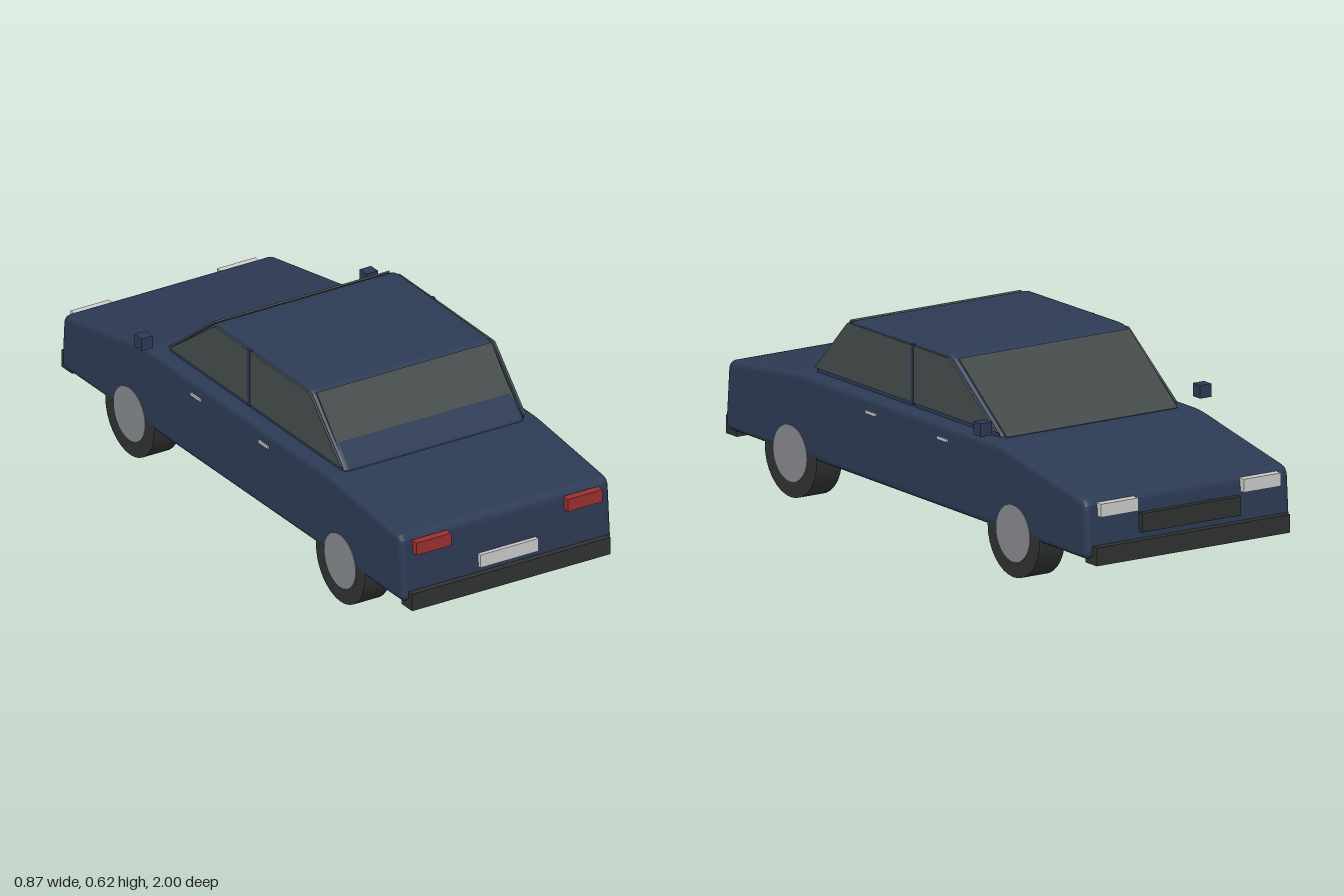
import * as THREE from 'three';

const mat = (color, side = THREE.FrontSide) =>
  new THREE.MeshStandardMaterial({ color, side });

export function createModel() {
  const car = new THREE.Group();
  car.name = 'car';
  const paint = mat(0x2c3a54), glass = mat(0x444b4b, THREE.DoubleSide);
  const rubber = mat(0x303232), red = mat(0x9a3030);
  const pale = mat(0xcccccc), steel = mat(0x85888c);

  function add(name, geometry, material, x = 0, y = 0, z = 0) {
    const mesh = new THREE.Mesh(geometry, material);
    mesh.name = name;
    mesh.position.set(x, y, z);
    car.add(mesh);
    return mesh;
  }
  const box = (name, material, w, h, d, x, y, z) =>
    add(name, new THREE.BoxGeometry(w, h, d), material, x, y, z);

  // Side outline given as [z, y] points, corners softened by radius r
  function outline(points, r) {
    const shape = new THREE.Shape();
    const v = points.map(p => new THREE.Vector2(...p));
    v.forEach((p, i) => {
      const prev = v[(i + v.length - 1) % v.length], next = v[(i + 1) % v.length];
      const a = prev.clone().sub(p).setLength(r).add(p);
      const b = next.clone().sub(p).setLength(r).add(p);
      if (i) shape.lineTo(a.x, a.y); else shape.moveTo(a.x, a.y);
      shape.quadraticCurveTo(p.x, p.y, b.x, b.y);
    });
    shape.closePath();
    return shape;
  }

  // Extrude a side outline across the car, bevelled inwards by b
  function across(points, width, r, b) {
    const g = new THREE.ExtrudeGeometry(outline(points, r), {
      depth: width - 2 * b, curveSegments: 4, bevelEnabled: b > 0,
      bevelThickness: b, bevelSize: b, bevelOffset: -b, bevelSegments: 4,
    });
    g.translate(0, 0, b - width / 2);
    g.rotateY(-Math.PI / 2);
    return g;
  }

  // Lower body and cabin
  add('body', across([[0.98, 0.142], [0.962, 0.365], [0.56, 0.407], [-0.5, 0.407],
    [-0.965, 0.322], [-0.978, 0.135]], 0.766, 0.03, 0.02), paint);
  add('cabin', across([[0.575, 0.4], [0.37, 0.611], [-0.17, 0.616], [-0.455, 0.4]],
    0.666, 0.03, 0.02), paint);

  // Sloping glass running between two [z, y] points
  function pane(name, [z1, y1], [z2, y2]) {
    const dz = z2 - z1, dy = y2 - y1;
    const mesh = box(name, glass, 0.64, Math.hypot(dz, dy), 0.006, 0, (y1 + y2) / 2, (z1 + z2) / 2);
    mesh.rotation.x = Math.atan2(dz, dy);
  }
  pane('rearWindow', [0.549, 0.417], [0.385, 0.603]);
  pane('windshield', [-0.453, 0.407], [-0.194, 0.603]);

  // Side windows, split by a pillar
  const rearSide = [[0.555, 0.42], [0.378, 0.6], [0.036, 0.602], [0.036, 0.42]];
  const frontSide = [[0.022, 0.42], [0.022, 0.602], [-0.168, 0.602], [-0.425, 0.42]];

  for (const [side, s] of [['left', 1], ['right', -1]]) {
    add(side + 'RearSideWindow', across(rearSide, 0.008, 0.005, 0), glass, s * 0.335);
    add(side + 'FrontSideWindow', across(frontSide, 0.008, 0.005, 0), glass, s * 0.335);
    box(side + 'Pillar', paint, 0.012, 0.19, 0.014, s * 0.334, 0.51, 0.029);

    // Mirrors and door handles
    box(side + 'Mirror', paint, 0.042, 0.042, 0.04, s * 0.412, 0.452, -0.455);
    for (const z of [0.185, -0.2])
      box(side + 'DoorHandle', pale, 0.012, 0.009, 0.055, s * 0.382, 0.359, z);

    // Lights
    box(side + 'TailLight', red, 0.127, 0.042, 0.03, s * 0.277, 0.324, 0.973);
    box(side + 'Headlight', pale, 0.14, 0.042, 0.03, s * 0.268, 0.291, -0.972);

    // Wheels with hubcaps
    for (const z of [0.62, -0.58]) {
      const tyre = new THREE.CylinderGeometry(0.14, 0.14, 0.095, 32).rotateZ(Math.PI / 2);
      add(side + 'Tyre', tyre, rubber, s * 0.335, 0.14, z);
      const hub = new THREE.CylinderGeometry(0.09, 0.09, 0.02, 32).rotateZ(Math.PI / 2);
      add(side + 'Hubcap', hub, steel, s * 0.375, 0.14, z);
    }
  }

  // Bumpers, plate and grille
  box('rearBumper', rubber, 0.726, 0.058, 0.06, 0, 0.15, 0.968);
  box('frontBumper', rubber, 0.726, 0.058, 0.06, 0, 0.15, -0.97);
  box('rearPlate', pale, 0.212, 0.044, 0.014, 0, 0.218, 0.98);
  box('grille', rubber, 0.37, 0.06, 0.03, 0, 0.23, -0.975);

  return car;
}
